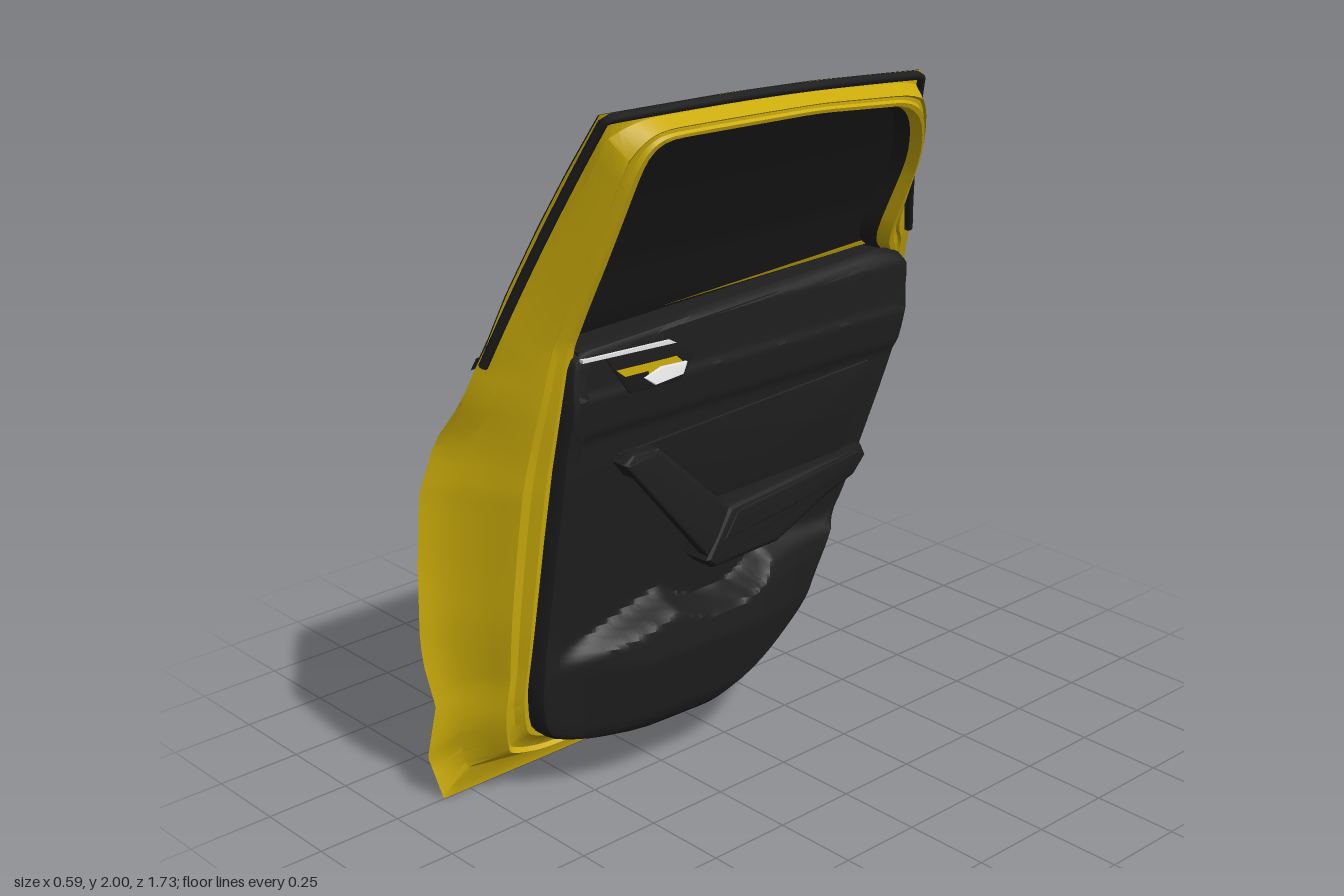
import * as THREE from 'three';
import { toCreasedNormals } from 'three/addons/utils/BufferGeometryUtils.js';

const material = (name, color) => new THREE.MeshStandardMaterial({ name, color, side: THREE.DoubleSide });
const step = THREE.MathUtils.smoothstep;

// Replaces each corner of an outline with a short curve
function rounded(outline, radius) {
  const pts = outline.map(p => new THREE.Vector2(...p)), n = pts.length;
  return pts.flatMap((p, i) => {
    const cut = q => p.clone().lerp(q, Math.min(.4, radius / p.distanceTo(q)));
    const curve = new THREE.QuadraticBezierCurve(cut(pts[(i + n - 1) % n]), p, cut(pts[(i + 1) % n]));
    return curve.getPoints(3).map(q => [q.x, q.y]);
  });
}

// Outlines are lists of [z, y] points
const DOOR = [[.84, 0], [.865, .13], [.84, .28], [.86, .4], [.865, .5], [.85, .92], [.82, 1.06], [.77, 1.3], [.64, 2],
  [.2, 1.99], [-.1, 1.975], [-.525, 1.94], [-.79, 1.4], [-.84, 1.26], [-.862, 1.2], [-.866, 1.14], [-.85, 1.07],
  [-.79, .97], [-.55, .6], [-.31, .18], [-.27, .1], [-.235, .04], [-.19, .01]];
const OPENING = rounded([[.56, .19], [.65, .23], [.665, .35], [.58, 1.3], [.51, 1.87], [.46, 1.915], [-.07, 1.9],
  [-.42, 1.865], [-.5, 1.81], [-.57, 1.68], [-.56, 1.41], [-.645, 1.35], [-.62, 1.13], [-.435, .655], [-.25, .37], [.11, .18]], .06);
const WINDOW_OUTER = [[.77, 1.31], [.64, 2], [.2, 1.99], [-.1, 1.975], [-.525, 1.94], [-.79, 1.4]];
const WINDOW_INNER = [[.58, 1.34], [.53, 1.965], [-.1, 1.945], [-.5, 1.91], [-.575, 1.76], [-.6, 1.415]];
const TRIM = rounded([[.56, .175], [.66, .21], [.678, .34], [.59, 1.335], [-.55, 1.39], [-.665, 1.36], [-.635, 1.13],
  [-.45, .655], [-.26, .355], [.11, .165]], .05);

// Piecewise-linear profile lookup
function profile(table) {
  return v => {
    if (v <= table[0][0]) return table[0][1];
    for (let i = 1; i < table.length; i++) {
      const [a, fa] = table[i - 1], [b, fb] = table[i];
      if (v <= b) return fa + (fb - fa) * (v - a) / (b - a);
    }
    return table[table.length - 1][1];
  };
}

// x of the outer skin, inner frame and trim by height, with a slight lean along z
const outerX = profile([[0, -.235], [.12, -.265], [.28, -.253], [.45, -.275], [.7, -.28], [.9, -.268], [1.04, -.238],
  [1.09, -.215], [1.19, -.145], [1.3, -.1], [1.36, -.07], [1.5, -.015], [1.7, .083], [1.85, .165], [2, .255]]);
const innerX = profile([[0, -.09], [.2, -.068], [.5, -.035], [.8, -.01], [1, .01], [1.35, .06], [1.45, .1], [1.6, .165], [1.8, .247], [1.93, .3], [2, .32]]);
const trimX = profile([[.17, 0], [.5, .02], [.8, .045], [.98, .062], [1.08, .068], [1.1, .078], [1.2, .088], [1.215, .08], [1.34, .075], [1.4, .045]]);
const pocketX = profile([[.17, .08], [.22, .1], [.4, .13], [.5, .12], [.62, .075]]);
const skin = (y, z) => {
  const d = Math.hypot((z + .53) / .14, (y - 1.1) / .075); // cup behind the outer handle
  return outerX(y) - .02 * z + (d < 1 ? .045 * (1 - d * d) : 0);
};
const inner = (y, z) => innerX(y) - .02 * z - .05 * step(-z, .5, .72); // thinner along the rear pillar
const trim = (y, z) => {
  // door pocket bulging under a rising lip, with a scooped opening, tapering to the rear
  const lip = Math.min(.61, .46 + (.66 - z) * .3);
  const scoop = Math.hypot((z - .1) / .21, (y - .58) / .11);
  const amount = step(lip - y, 0, .06) * step(.69 - z, 0, .35) * step(scoop, .7, 1) * (1 - .6 * step(-z, 0, .35));
  return THREE.MathUtils.lerp(trimX(y), pocketX(y), amount) - .02 * z;
};
const between = t => (y, z) => THREE.MathUtils.lerp(skin(y, z), inner(y, z), t);

function gridGeometry(rows) {
  const n = rows[0].length, index = [];
  for (let j = 0; j < rows.length - 1; j++) for (let i = 0; i < n - 1; i++) {
    const a = j * n + i, b = a + n;
    index.push(a, a + 1, b, b, a + 1, b + 1);
  }
  const g = new THREE.BufferGeometry();
  g.setAttribute('position', new THREE.Float32BufferAttribute(rows.flat(2), 3));
  g.setIndex(index);
  return toCreasedNormals(g, .55);
}

// Sheet of slanted rows clipped to an outline
const slope = profile([[0, .01], [1.3, .06], [2, -.05]]);
function sheet(outline, v0, v1, count, fx, columns = 60) {
  const rows = [];
  for (let j = 0; j <= count; j++) {
    const v = v0 + (v1 - v0) * j / count, k = slope(v), hits = [];
    outline.forEach((a, i) => {
      const b = outline[(i + 1) % outline.length];
      const ga = a[1] - v - k * (.75 - a[0]), gb = b[1] - v - k * (.75 - b[0]);
      if (ga * gb <= 0 && ga !== gb) hits.push(a[0] + (b[0] - a[0]) * ga / (ga - gb));
    });
    if (!hits.length) continue;
    const lo = Math.min(...hits), hi = Math.max(...hits), row = [];
    for (let i = 0; i <= columns; i++) {
      const z = hi + (lo - hi) * i / columns, y = v + k * (.75 - z);
      row.push([fx(y, z), y, z]);
    }
    rows.push(row);
  }
  return gridGeometry(rows);
}

// Nested loops blended between two outlines; each step is [blend, x rule]
function loft(outlineA, outlineB, steps, [cz, cy]) {
  let angles = [...outlineA, ...outlineB].map(p => Math.atan2(p[1] - cy, p[0] - cz));
  for (let i = 0; i < 90; i++) angles.push(-Math.PI + i * Math.PI / 45);
  angles = angles.sort((a, b) => a - b).filter((a, i, all) => !i || a - all[i - 1] > 1e-3);
  angles.push(angles[0]);
  const reach = (outline, c, s) => Math.max(...outline.map((a, i) => {
    const b = outline[(i + 1) % outline.length];
    const az = a[0] - cz, ay = a[1] - cy, ez = b[0] - a[0], ey = b[1] - a[1], det = c * ey - s * ez;
    if (Math.abs(det) < 1e-9) return 0;
    const r = (az * ey - ay * ez) / det, u = (az * s - ay * c) / det;
    return u >= -1e-6 && u <= 1 + 1e-6 ? r : 0;
  }));
  const radii = angles.map(t => [outlineA, outlineB].map(o => reach(o, Math.cos(t), Math.sin(t))));
  return gridGeometry(steps.map(([blend, fx]) => angles.map((t, i) => {
    const r = THREE.MathUtils.lerp(radii[i][0], radii[i][1], blend);
    const z = cz + r * Math.cos(t), y = cy + r * Math.sin(t);
    return [fx(y, z), y, z];
  })));
}

// Solid pad: an outline extruded along x between two x rules
function pad(outline, x0, x1, bevel = 0) {
  const shape = new THREE.Shape(outline.map(([z, y]) => new THREE.Vector2(-z, y)));
  const g = new THREE.ExtrudeGeometry(shape, { depth: 1, bevelEnabled: bevel > 0, bevelSize: bevel,
    bevelOffset: -bevel, bevelThickness: .3, bevelSegments: 3 });
  const p = g.attributes.position;
  for (let i = 0; i < p.count; i++) {
    const z = -p.getX(i), y = p.getY(i), t = bevel ? (p.getZ(i) + .3) / 1.6 : p.getZ(i);
    p.setXYZ(i, THREE.MathUtils.lerp(x0(y, z), x1(y, z), t), y, z);
  }
  return toCreasedNormals(g, .5);
}
const above = d => (y, z) => trim(y, z) + d;
const outside = d => (y, z) => skin(y, z) - d;
const at = x => () => x;
const armrestX = d => (y, z) => .136 + d - .055 * step(-z, -.1, .5);

export function createModel() {
  const paint = material('yellow paint', 0xc9aa0a), black = material('black trim', 0x1e1e1e);
  const glass = material('dark glass', 0x1a1a1a), chrome = material('chrome', 0xe4e4e4);
  const group = new THREE.Group();
  const add = (name, geometry, mat) => {
    const mesh = new THREE.Mesh(geometry, mat);
    mesh.name = name;
    group.add(mesh);
    return mesh;
  };

  // Painted shell, with a black lining inside the opening
  add('outerSkin', sheet(DOOR, .005, 1.3, 80, skin, 90), paint);
  add('innerFrame', loft(DOOR, OPENING, [[0, skin], [.12, between(.06)], [.35, between(.25)], [.55, between(.7)],
    [.65, between(.9)], [.7, between(.84)], [.8, between(.88)], [.88, between(1)], [1, between(1)], [1.015, between(.6)]], [.02, 1]), paint);
  add('openingLining', loft(DOOR, OPENING, [[1.015, between(.6)], [1.03, between(.08)]], [.02, 1]), black);

  // Window, its outside surround, belt moulding and edge seal
  add('windowGlass', sheet(DOOR, 1.3, 1.99, 24, skin), glass);
  add('loweredGlassEdge', sheet(TRIM, 1.12, 1.325, 8, outside(-.03)), glass);
  add('windowSurround', loft(WINDOW_OUTER, WINDOW_INNER,
    [[0, skin], [.03, outside(.008)], [.97, outside(.008)], [1, skin]], [0, 1.65]), black);
  add('beltMoulding', sheet(DOOR, 1.285, 1.32, 4, outside(.014)), black);
  const seal = new THREE.CurvePath();
  const sealPoints = WINDOW_OUTER.map(([z, y]) => new THREE.Vector3(skin(y, z) + .008, y - .012, z * .985));
  for (let i = 1; i < sealPoints.length; i++) {
    const a = sealPoints[i - 1], b = sealPoints[i], mid = a.clone().lerp(b, .5);
    mid.x = skin(mid.y, mid.z) + .008;
    seal.add(new THREE.QuadraticBezierCurve3(a, mid, b));
  }
  add('edgeSeal', new THREE.TubeGeometry(seal, 100, .013, 8), black);

  // Outer handle
  const handle = add('outerHandle', new THREE.CapsuleGeometry(.03, .31, 6, 16), paint);
  handle.rotation.x = Math.PI / 2;
  handle.scale.set(.8, 1, 1.1);
  handle.position.set(-.218, 1.105, -.54);

  // Inner trim panel with rounded border and a sill reaching to the glass
  const inset = TRIM.map(([z, y]) => [z * .97, .8 + (y - .8) * .97]);
  add('trimBorder', loft(TRIM, inset, [[0, (y, z) => inner(y, z) - .02], [0, above(-.025)], [.4, above(-.006)],
    [1.05, trim], [2.5, trim]], [0, .8]), black);
  add('trimPanel', sheet(inset, .183, 1.33, 90, trim, 80), black);
  add('windowSill', pad([[.57, 1.29], [.57, 1.33], [-.55, 1.385], [-.63, 1.36], [-.62, 1.33]], outside(-.04), above(-.012)), black);
  add('trimInsert', pad([[.45, 1.02], [-.49, 1.07], [-.52, 1.03], [-.38, .76], [.1, .77]], trim, above(.012), .008), black);

  // Armrest, slanted pull bar and its upper mount
  add('armrest', pad([[.19, .65], [.1, .79], [-.2, .8], [-.48, .81], [-.5, .77], [-.45, .72], [-.33, .69], [-.1, .62], [.16, .62]],
    at(.02), armrestX(0), .02), black);
  add('armrestPad', pad([[.08, .775], [-.2, .785], [-.46, .795], [-.43, .73], [-.15, .715], [.13, .7]], armrestX(-.016), armrestX(.006), .008), black);
  add('pullBar', pad([[.46, 1], [.34, 1.02], [.08, .77], [.18, .66]], at(.082), y => .13 - .06 * Math.max(0, y - .7), .015), black);
  add('pullBarMount', pad([[.46, 1], [.43, 1.025], [.34, 1.02], [.31, .98], [.42, .95]], at(.03), at(.11), .01), black);

  // Inner release handle
  add('releaseBezel', pad([[.49, 1.3], [.27, 1.295], [.185, 1.25], [.24, 1.185], [.42, 1.19]], trim, above(.006), .004), glass);
  add('releaseCup', pad([[.46, 1.262], [.25, 1.255], [.22, 1.225], [.4, 1.212]], above(.004), above(.009)), paint);
  add('releaseLever', pad([[.37, 1.222], [.31, 1.24], [.22, 1.235], [.24, 1.205], [.34, 1.198]], above(.004), above(.018), .005), chrome);
  add('releaseStrip', pad([[.57, 1.315], [.27, 1.304], [.25, 1.292], [.57, 1.306]], above(-.004), above(.009)), chrome);
  return group;
}
